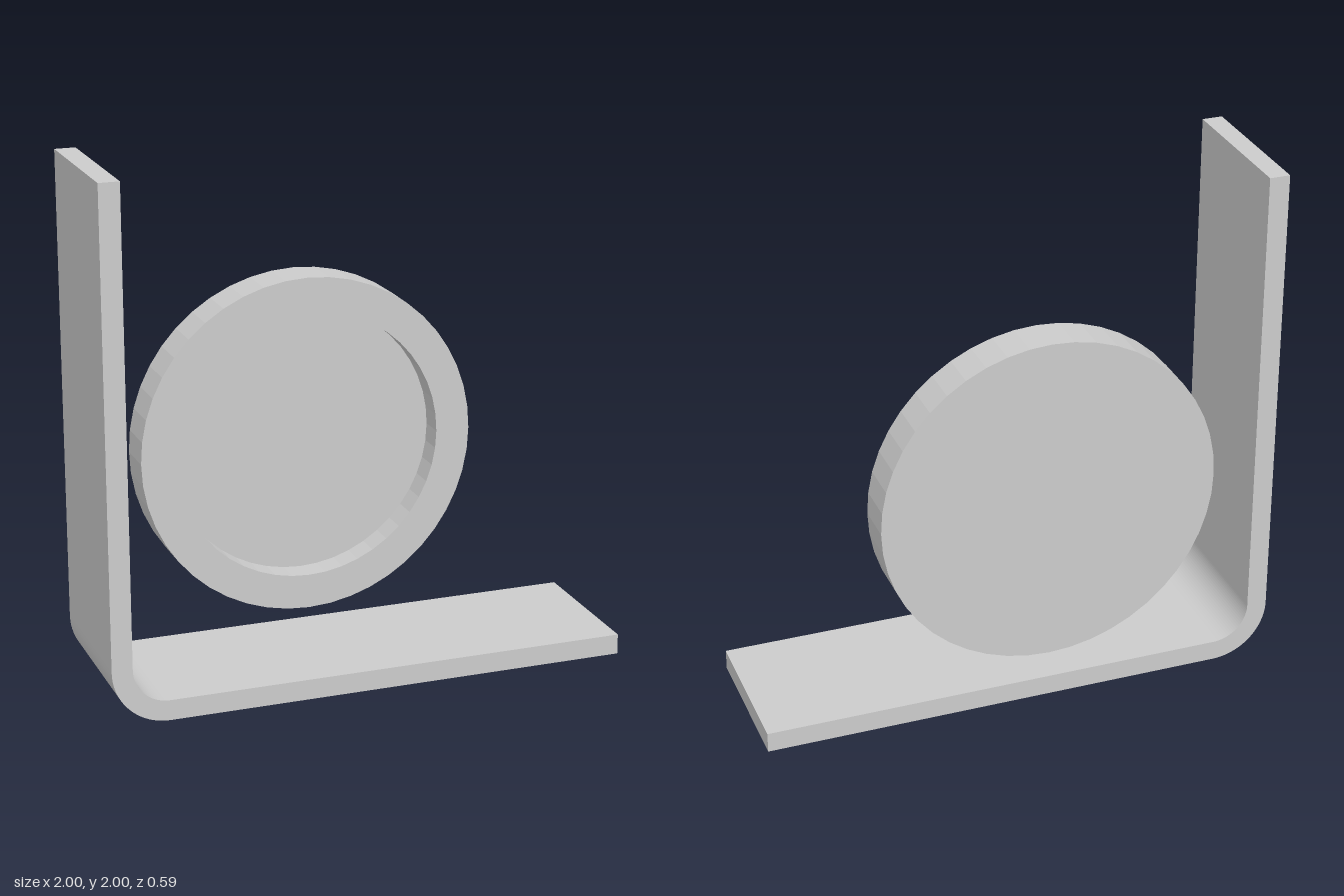
import * as THREE from 'three';

const material = new THREE.MeshStandardMaterial({ color: 0xcccccc, flatShading: true });

const HALF_DEPTH = 0.293; // half the strip width along z

// Bent strip: L-shaped profile with a rounded heel, extruded along z
function makeBracket() {
  const t = 0.078, bend = 0.215, c = -1 + bend;
  const s = new THREE.Shape();
  s.moveTo(1, 0);
  s.lineTo(1, t);
  s.lineTo(c, t);
  s.absarc(c, bend, bend - t, -Math.PI / 2, -Math.PI, true);
  s.lineTo(-1 + t, 2);
  s.lineTo(-1, 2);
  s.lineTo(-1, bend);
  s.absarc(c, bend, bend, Math.PI, Math.PI * 1.5, false);
  s.closePath();
  const geo = new THREE.ExtrudeGeometry(s, { depth: HALF_DEPTH * 2, bevelEnabled: false, curveSegments: 12 });
  geo.translate(0, 0, -HALF_DEPTH);
  const mesh = new THREE.Mesh(geo, material);
  mesh.name = 'bentBracket';
  return mesh;
}

// Round dish: closed at the back, with a shallow recess in its front
function makeDish() {
  const R = 0.65, r = 0.518, depth = 0.163, recess = 0.1;
  const profile = [
    [0, 0], [R, 0], [R, depth], [r, depth], [r, depth - recess], [0, depth - recess],
  ].map(([x, y]) => new THREE.Vector2(x, y));
  const geo = new THREE.LatheGeometry(profile, 48);
  geo.rotateX(Math.PI / 2);
  const mesh = new THREE.Mesh(geo, material);
  mesh.name = 'recessedDisc';
  mesh.position.set(-0.104, 0.835, -HALF_DEPTH);
  return mesh;
}

export function createModel() {
  const group = new THREE.Group();
  group.name = 'bracketWithDisc';
  group.add(makeBracket(), makeDish());
  return group;
}
